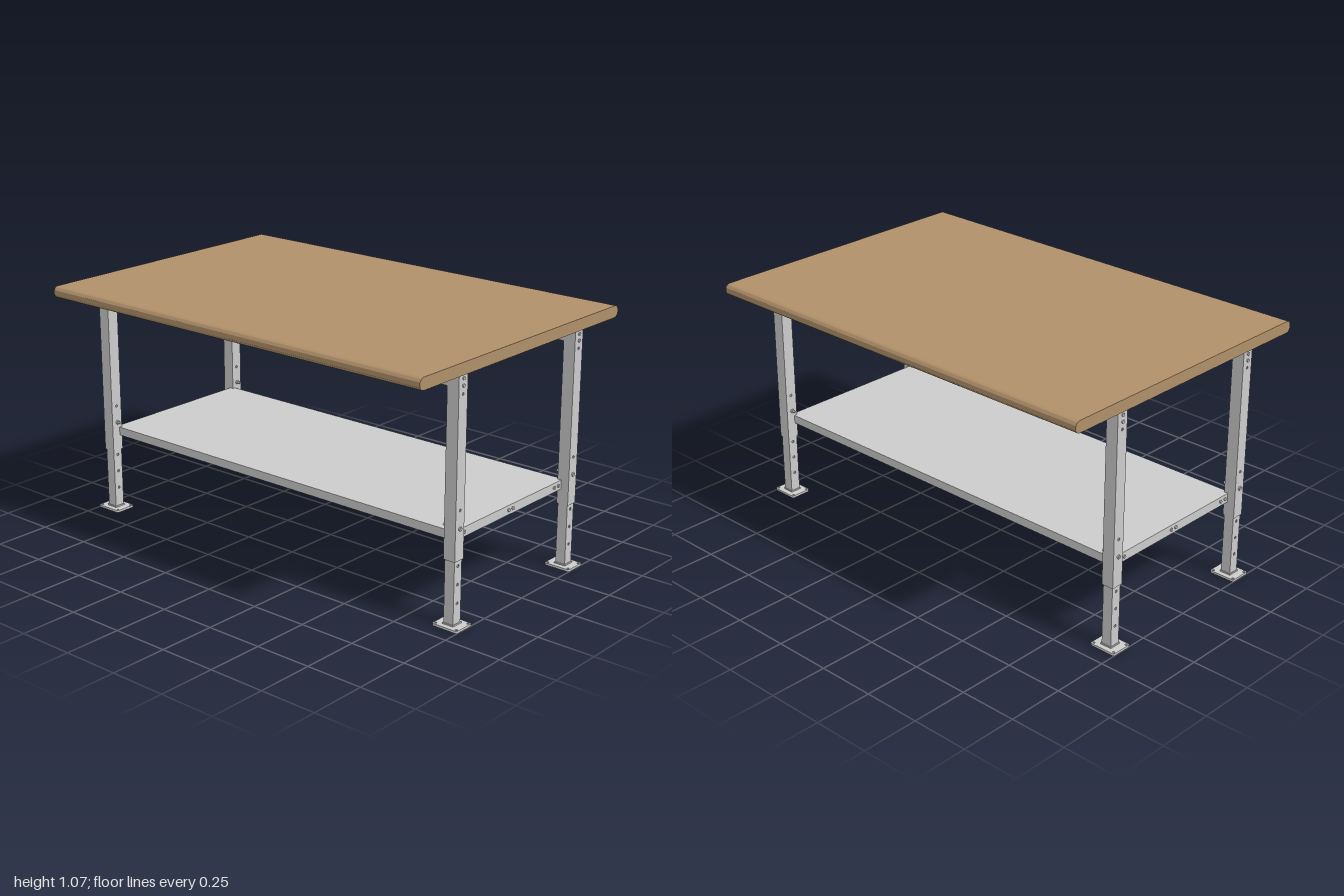
import * as THREE from 'three';
import { toCreasedNormals } from 'three/addons/utils/BufferGeometryUtils.js';

const steel = new THREE.MeshStandardMaterial({ color: 0xcccccc });
const wood = new THREE.MeshStandardMaterial({ color: 0xb0906a });

const LEG_X = 0.941, LEG_Z = 0.382;

function add(parent, name, geometry, material = steel) {
  const mesh = new THREE.Mesh(geometry, material);
  mesh.name = name;
  parent.add(mesh);
  return mesh;
}

// Box given by its minimum and maximum corners
function box(parent, name, [x0, y0, z0], [x1, y1, z1]) {
  const mesh = add(parent, name, new THREE.BoxGeometry(x1 - x0, y1 - y0, z1 - z0));
  mesh.position.set((x0 + x1) / 2, (y0 + y1) / 2, (z0 + z1) / 2);
  return mesh;
}

function roundedRect(w, h, r) {
  const s = new THREE.Shape(), x = w / 2, y = h / 2;
  s.absarc(x - r, y - r, r, 0, Math.PI / 2);
  s.absarc(-x + r, y - r, r, Math.PI / 2, Math.PI);
  s.absarc(-x + r, -y + r, r, Math.PI, Math.PI * 1.5);
  s.absarc(x - r, -y + r, r, Math.PI * 1.5, Math.PI * 2);
  s.closePath();
  return s;
}

function drill(shape, x, y, r) {
  const hole = new THREE.Path();
  hole.absarc(x, y, r, 0, Math.PI * 2, true);
  shape.holes.push(hole);
}

function extrude(shape, depth) {
  return toCreasedNormals(new THREE.ExtrudeGeometry(shape, { depth, bevelEnabled: false, curveSegments: 10 }), 0.6);
}

// Bolt head or rod along x
function bolt(parent, name, x0, x1, y, z, r, sides = 6) {
  const geo = new THREE.CylinderGeometry(r, r, Math.abs(x1 - x0), sides);
  geo.rotateZ(Math.PI / 2);
  add(parent, name, geo).position.set((x0 + x1) / 2, y, z);
}

// Square tube around the leg axis, drilled through along x
function drilledTube(parent, name, width, y0, y1, holes) {
  const h = width / 2, wall = 0.004;
  const tube = new THREE.Group();
  tube.name = name;
  for (const x of [-h, h - wall]) {
    const s = new THREE.Shape();
    s.moveTo(-h, y0).lineTo(h, y0).lineTo(h, y1).lineTo(-h, y1).closePath();
    holes.forEach((y) => drill(s, 0, y, 0.006));
    const geo = extrude(s, wall);
    geo.rotateY(Math.PI / 2);
    add(tube, name + 'Web', geo).position.x = x;
  }
  for (const z of [-h, h - wall]) {
    box(tube, name + 'Side', [-h + wall, y0, z], [h - wall, y1, z + wall]);
  }
  parent.add(tube);
}

// One height-adjustable leg; out is the outward direction along x
function makeLeg(out) {
  const leg = new THREE.Group();
  leg.name = 'leg';
  drilledTube(leg, 'upperLeg', 0.054, 0.278, 1.017, [0.942, 0.483]);
  drilledTube(leg, 'lowerLeg', 0.046, 0.01, 0.4, [0.1, 0.178, 0.255]);
  // Foot plate with corner holes, and the collar above it
  const plate = roundedRect(0.12, 0.097, 0.008);
  for (const x of [-0.05, 0.05]) for (const z of [-0.037, 0.037]) drill(plate, x, z, 0.005);
  const geo = extrude(plate, 0.01);
  geo.rotateX(-Math.PI / 2);
  add(leg, 'footPlate', geo);
  box(leg, 'footCollar', [-0.026, 0.01, -0.026], [0.026, 0.016, 0.026]);
  // Fixings
  bolt(leg, 'heightBolt', out * 0.034, out * -0.05, 0.408, 0, 0.005, 10);
  bolt(leg, 'heightBoltHead', out * 0.027, out * 0.033, 0.408, 0, 0.009);
  bolt(leg, 'heightBoltNut', out * -0.036, out * -0.027, 0.408, 0, 0.009);
  for (const y of [1.002, 0.974]) {
    bolt(leg, 'topBolt', out * 0.027, out * 0.032, y, 0, 0.007);
    bolt(leg, 'topBoltNut', out * -0.034, out * -0.027, y, 0, 0.007);
  }
  return leg;
}

function makeTop() {
  // Slab with rounded front and back edges
  const geo = extrude(roundedRect(1.303, 0.05, 0.0235), 1.95);
  geo.translate(0, 0, -0.975);
  geo.rotateY(Math.PI / 2);
  geo.translate(0, 1.042, 0);
  return geo;
}

function makeFrame() {
  const frame = new THREE.Group();
  frame.name = 'topFrame';
  for (const s of [-1, 1]) {
    // Long rail between the legs with screws underneath
    const z = s * LEG_Z;
    box(frame, 'longRail', [-0.914, 0.968, z - 0.024], [0.914, 1.016, z + 0.024]);
    for (const x of [-0.676, -0.225, 0.225, 0.676]) {
      const screw = add(frame, 'railScrew', new THREE.CylinderGeometry(0.007, 0.007, 0.006, 8));
      screw.position.set(x, 0.966, z);
    }
    // End rail: angle section with a rounded lower front corner
    const side = new THREE.Shape();
    side.moveTo(-0.355, 0.985).lineTo(0.445, 0.985);
    side.quadraticCurveTo(0.46, 0.985, 0.46, 1.0);
    side.lineTo(0.46, 1.017).lineTo(-0.355, 1.017).closePath();
    const geo = extrude(side, 0.006);
    geo.rotateY(-Math.PI / 2);
    add(frame, 'endRailWeb', geo).position.x = s > 0 ? 0.915 : -0.909;
    const [a, b] = s > 0 ? [0.909, 0.955] : [-0.955, -0.909];
    box(frame, 'endRailFlange', [a, 1.011, -0.355], [b, 1.017, 0.46]);
  }
  return frame;
}

function makeShelf() {
  const shelf = new THREE.Group();
  shelf.name = 'lowerShelf';
  box(shelf, 'shelfPanel', [-0.925, 0.376, -0.355], [0.925, 0.382, 0.355]);
  box(shelf, 'shelfPanelFront', [-0.913, 0.376, 0.355], [0.913, 0.382, 0.37]);
  box(shelf, 'shelfPanelBack', [-0.913, 0.376, -0.37], [0.913, 0.382, -0.355]);
  for (const s of [-1, 1]) {
    // Folded long edge with a return lip
    const [z0, z1] = s > 0 ? [0.364, 0.37] : [-0.37, -0.364];
    box(shelf, 'shelfSkirt', [-0.913, 0.345, z0], [0.913, 0.376, z1]);
    const [l0, l1] = s > 0 ? [0.325, 0.364] : [-0.364, -0.325];
    box(shelf, 'shelfLip', [-0.905, 0.345, l0], [0.905, 0.35, l1]);
    // End bar bolted between the legs
    const [x0, x1] = s > 0 ? [0.925, 0.932] : [-0.932, -0.925];
    box(shelf, 'shelfEndBar', [x0, 0.342, -0.355], [x1, 0.382, 0.355]);
    const [f0, f1] = s > 0 ? [0.895, 0.925] : [-0.925, -0.895];
    box(shelf, 'shelfEndFlange', [f0, 0.342, -0.355], [f1, 0.347, 0.355]);
    for (const z of [-0.333, -0.303, -0.014, 0.014, 0.306, 0.336]) {
      bolt(shelf, 'shelfBolt', s * 0.932, s * 0.938, 0.363, z, 0.007);
    }
  }
  return shelf;
}

export function createModel() {
  const table = new THREE.Group();
  table.name = 'workbench';
  add(table, 'tableTop', makeTop(), wood);
  table.add(makeFrame(), makeShelf());
  for (const sx of [-1, 1]) {
    for (const sz of [-1, 1]) {
      const leg = makeLeg(sx);
      leg.position.set(sx * LEG_X, 0, sz * LEG_Z);
      table.add(leg);
    }
  }
  return table;
}
